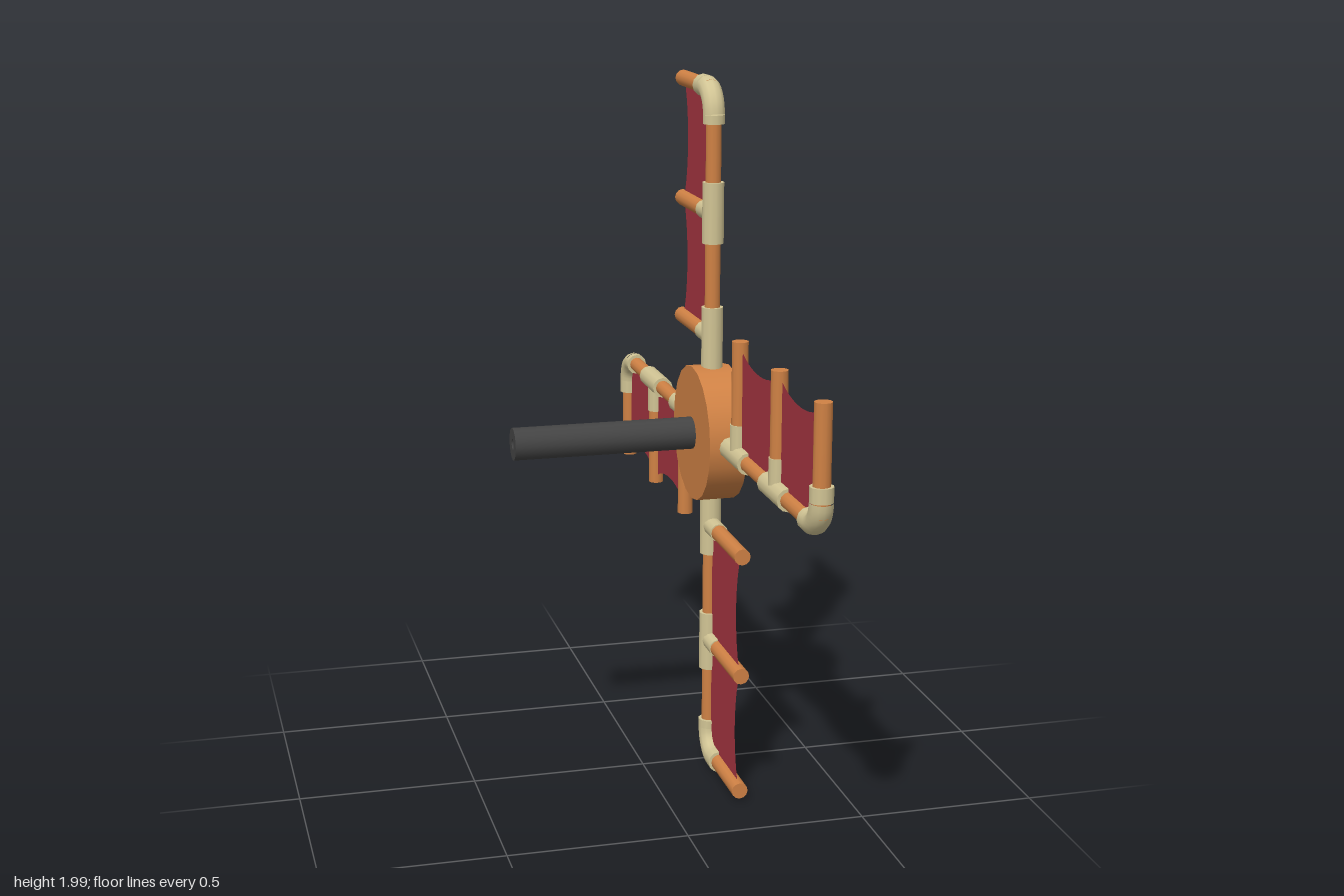
import * as THREE from 'three';

const mat = (color, side = THREE.FrontSide) => new THREE.MeshStandardMaterial({ color, side });
const wood = mat(0xd08245);
const fitting = mat(0xd2c595);
const cloth = mat(0xa63541, THREE.DoubleSide);
const dark = mat(0x444444);

const PLANE_X = 0.2;          // plane in which the blades turn
const SPARS = [0.275, 0.622, 0.965]; // distances of the spars from the hub
const V = (y, z) => new THREE.Vector3(0, y, z);

function add(parent, name, geometry, material) {
  const mesh = new THREE.Mesh(geometry, material);
  mesh.name = name;
  parent.add(mesh);
  return mesh;
}

// Round rod between two points
function rod(parent, name, a, b, radius, material) {
  const dir = b.clone().sub(a);
  const mesh = add(parent, name, new THREE.CylinderGeometry(radius, radius, dir.length(), 12), material);
  mesh.position.copy(a).add(b).multiplyScalar(0.5);
  mesh.quaternion.setFromUnitVectors(new THREE.Vector3(0, 1, 0), dir.normalize());
  return mesh;
}

// Blade pointing up, with its sail towards -z
function createBlade() {
  const blade = new THREE.Group();
  blade.name = 'blade';
  const tip = SPARS[2];

  rod(blade, 'mast', V(0.15, 0), V(0.89, 0), 0.022, wood);
  SPARS.forEach((y) => rod(blade, 'spar', V(y, -0.03), V(y, -0.32), 0.023, wood));

  // Pipe tees with side sockets
  rod(blade, 'innerTee', V(0.17, 0), V(0.36, 0), 0.031, fitting);
  rod(blade, 'middleTee', V(0.54, 0), V(0.71, 0), 0.031, fitting);
  SPARS.slice(0, 2).forEach((y) => rod(blade, 'teeSocket', V(y, 0), V(y, -0.09), 0.026, fitting));

  // Elbow at the tip: quarter bend with a straight sleeve at each end
  const bend = 0.07, r = 0.031;
  const path = new THREE.CurvePath();
  const points = [];
  for (let i = 0; i <= 8; i++) {
    const t = (i / 8) * Math.PI / 2;
    points.push(V(tip - bend + bend * Math.sin(t), -bend + bend * Math.cos(t)));
  }
  for (let i = 0; i < 8; i++) path.add(new THREE.LineCurve3(points[i], points[i + 1]));
  add(blade, 'elbowBend', new THREE.TubeGeometry(path, 8, r, 12), fitting);
  rod(blade, 'elbowSleeve', V(0.87, 0), V(tip - bend, 0), r, fitting);
  rod(blade, 'elbowSleeve', V(tip, -bend), V(tip, -0.11), r, fitting);

  // Sail with a scalloped free edge between the spars
  const sail = new THREE.Shape();
  sail.moveTo(0.01, SPARS[0]);
  sail.lineTo(0.305, SPARS[0]);
  for (let i = 1; i < 3; i++) {
    const a = SPARS[i - 1], b = SPARS[i];
    sail.bezierCurveTo(0.25, a + 0.09, 0.25, b - 0.09, 0.305, b);
  }
  sail.lineTo(0.07, tip);
  sail.quadraticCurveTo(0.01, tip, 0.01, tip - 0.06);
  add(blade, 'sail', new THREE.ShapeGeometry(sail, 12).rotateY(Math.PI / 2), cloth);
  return blade;
}

export function createModel() {
  const model = new THREE.Group();
  model.name = 'windmillRotor';
  const rotor = new THREE.Group();
  rotor.name = 'rotor';
  rotor.position.y = 1;
  model.add(rotor);

  // Four blades around the x axis
  for (let i = 0; i < 4; i++) {
    const blade = createBlade();
    blade.position.x = PLANE_X;
    blade.rotation.x = i * Math.PI / 2;
    rotor.add(blade);
  }

  // Hub disc
  const hub = add(rotor, 'hub', new THREE.CylinderGeometry(0.192, 0.192, 0.108, 20), wood);
  hub.rotation.z = -Math.PI / 2;
  hub.position.x = 0.196;

  // Flattened nose dome
  const dome = add(rotor, 'noseDome',
    new THREE.SphereGeometry(0.146, 24, 10, 0, Math.PI * 2, 0, Math.PI / 2), dark);
  dome.scale.y = 0.123 / 0.146;
  dome.rotation.z = -Math.PI / 2;
  dome.position.x = 0.25;

  // Axle with a small bore in its free end
  const profile = [[0, 0.05], [0.015, 0.05], [0.015, 0.05], [0.015, 0], [0.015, 0],
    [0.046, 0], [0.046, 0], [0.046, 0.53]].map(([r, y]) => new THREE.Vector2(r, y));
  const axle = add(rotor, 'axle', new THREE.LatheGeometry(profile, 16), dark);
  axle.rotation.z = -Math.PI / 2;
  axle.position.x = -0.373;

  return model;
}
